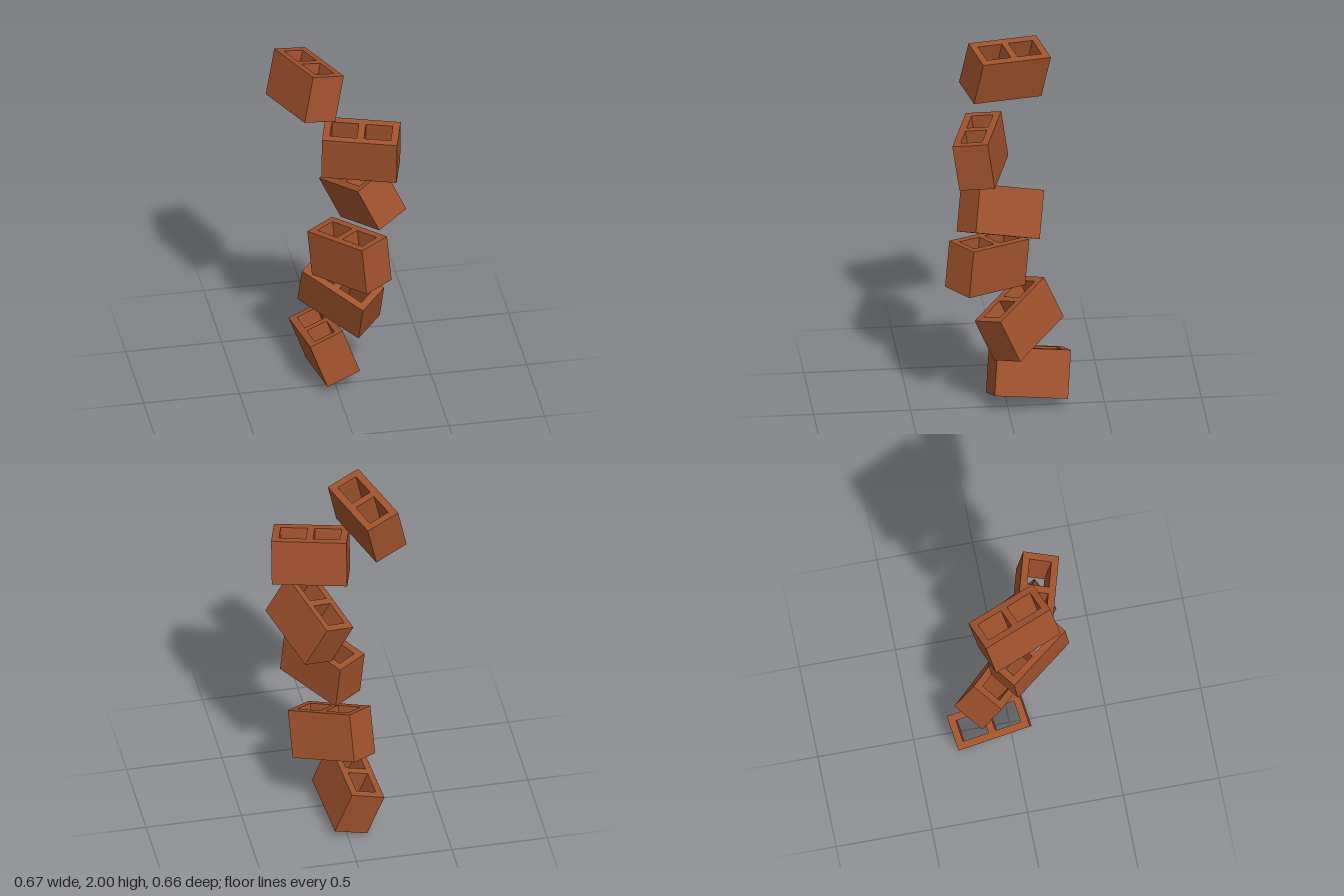
import * as THREE from 'three';

const LENGTH = 0.388, WIDTH = 0.187, HEIGHT = 0.252, WALL = 0.037;

// Counter-clockwise rectangle from its centre and size
function rectangle(target, cx, w, h) {
  target.moveTo(cx - w / 2, -h / 2);
  target.lineTo(cx + w / 2, -h / 2);
  target.lineTo(cx + w / 2, h / 2);
  target.lineTo(cx - w / 2, h / 2);
  target.closePath();
  return target;
}

// Hollow block: length on x, width on y, two cells running along z
function blockGeometry() {
  const shape = rectangle(new THREE.Shape(), 0, LENGTH, WIDTH);
  const cell = (LENGTH - 3 * WALL) / 2;
  for (const side of [-1, 1]) {
    shape.holes.push(rectangle(new THREE.Path(), side * (cell + WALL) / 2, cell, WIDTH - 2 * WALL));
  }
  const geometry = new THREE.ExtrudeGeometry(shape, { depth: HEIGHT, bevelEnabled: false });
  geometry.translate(0, 0, -HEIGHT / 2);
  return geometry;
}

// Tumbling blocks from the bottom up: centre, length direction, cell direction
const BLOCKS = [
  { center: [-0.036, 0.176, -0.112], along: [0.041, 0.053, 0.375], up: [-0.085, 0.233, -0.027] },
  { center: [0.04, 0.513, -0.056], along: [0.27, -0.115, 0.25], up: [0.01, 0.228, 0.106] },
  { center: [0.054, 0.845, 0.11], along: [0.229, 0.048, 0.312], up: [-0.018, 0.249, -0.022] },
  { center: [0.134, 1.176, 0.05], along: [0.138, 0.116, 0.343], up: [-0.107, 0.226, -0.034] },
  { center: [0.107, 1.508, 0.151], along: [0.373, -0.01, 0.107], up: [0, 0.249, 0.037] },
  { center: [-0.158, 1.837, -0.003], along: [0.135, 0.035, 0.36], up: [0.054, 0.248, -0.045] },
];

export function createModel() {
  const model = new THREE.Group();
  model.name = 'fallingBlocks';
  const clay = new THREE.MeshStandardMaterial({ name: 'clay', color: 0xa0522d });
  const geometry = blockGeometry();

  BLOCKS.forEach(({ center, along, up }, i) => {
    const block = new THREE.Mesh(geometry, clay);
    block.name = `hollowBlock${i + 1}`;
    // Square up the three axes before using them as a rotation
    const x = new THREE.Vector3(...along).normalize();
    const y = new THREE.Vector3(...up).cross(x).normalize();
    const z = new THREE.Vector3().crossVectors(x, y);
    block.quaternion.setFromRotationMatrix(new THREE.Matrix4().makeBasis(x, y, z));
    block.position.set(...center);
    model.add(block);
  });
  return model;
}
